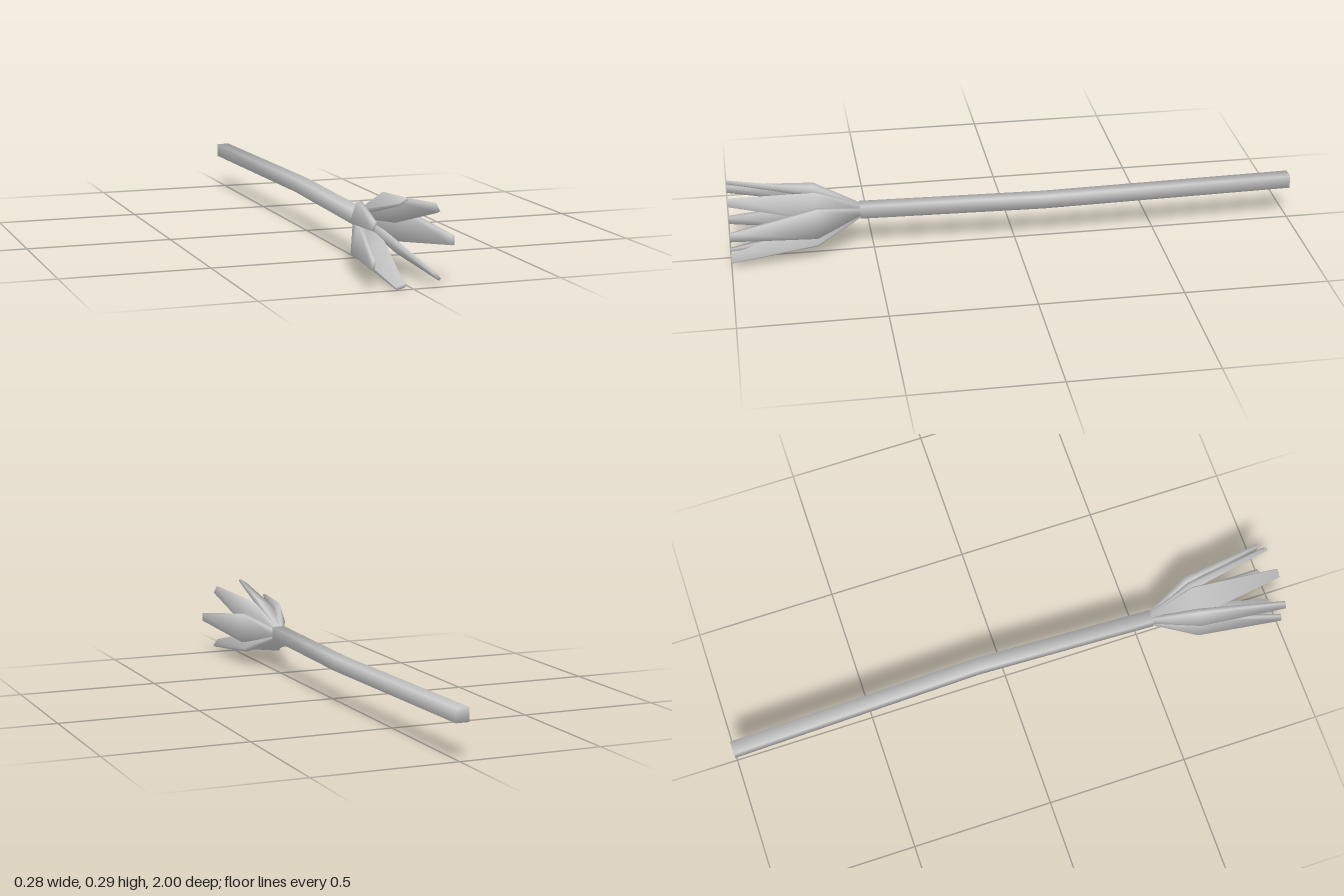
import * as THREE from 'three';

const material = new THREE.MeshStandardMaterial({ color: 0xcccccc });

// Closed four-sided loft through rectangular rings facing +z, shaded smoothly all round.
// Ring: x, y, z, half-width, half-thickness, angle of the wide axis.
function loft(rings) {
  const points = [], quads = [];
  for (const { x, y, z, w, t, a } of rings) {
    for (const [su, sv] of [[1, 1], [-1, 1], [-1, -1], [1, -1]]) {
      const u = su * w, v = sv * t;
      points.push(new THREE.Vector3(
        x + u * Math.cos(a) - v * Math.sin(a), y + u * Math.sin(a) + v * Math.cos(a), z));
    }
  }
  for (let p = 0; p < points.length - 4; p += 4) {
    for (let j = 0; j < 4; j++) {
      const k = (j + 1) % 4;
      quads.push([p + j, p + k, p + 4 + k, p + 4 + j]);
    }
  }
  const last = points.length - 4;
  quads.push([3, 2, 1, 0], [last, last + 1, last + 2, last + 3]);

  // every face counts equally at its corners, so the ends round off the shading too
  const normals = points.map(() => new THREE.Vector3());
  const d1 = new THREE.Vector3(), d2 = new THREE.Vector3();
  for (const q of quads) {
    d1.subVectors(points[q[2]], points[q[0]]);
    d2.subVectors(points[q[3]], points[q[1]]);
    d1.cross(d2).normalize();
    q.forEach((i) => normals[i].add(d1));
  }
  normals.forEach((n) => n.normalize());

  const geo = new THREE.BufferGeometry().setFromPoints(points);
  geo.setAttribute('normal', new THREE.Float32BufferAttribute(normals.flatMap((n) => n.toArray()), 3));
  geo.setIndex(quads.flatMap(([a, b, c, d]) => [a, b, c, a, c, d]));
  return geo;
}

const CX = -0.008, CY = 0.147;

// Petal: the two edge points at its widest section, and the centre of its tip
const petals = [
  { e0: [0.020, 0.246], e1: [-0.066, 0.192], tip: [-0.035, 0.276] },
  { e0: [0.066, 0.155], e1: [0.024, 0.240], tip: [0.075, 0.250] },
  { e0: [0.070, 0.090], e1: [0.072, 0.200], tip: [0.130, 0.145] },
  { e0: [0.014, 0.122], e1: [0.068, 0.058], tip: [0.078, 0.036] },
  { e0: [-0.076, 0.055], e1: [0.023, 0.085], tip: [-0.042, 0.010] },
  { e0: [-0.060, 0.156], e1: [-0.085, 0.058], tip: [-0.131, 0.083] },
  { e0: [-0.065, 0.230], e1: [-0.088, 0.157], tip: [-0.131, 0.205] },
];

export function createModel() {
  const model = new THREE.Group();
  model.name = 'flower';
  const add = (name, geo, parent) => {
    const mesh = new THREE.Mesh(geo, material);
    mesh.name = name;
    parent.add(mesh);
  };

  // Slightly bent square stem
  const stemRing = (x, z) => ({ x, y: CY, z, w: 0.0235, t: 0.0235, a: 0 });
  add('stem', loft([stemRing(CX, -1), stemRing(0.015, -0.1), stemRing(CX, 0.545)]), model);

  // Blossom: seven petals opening towards the front
  const blossom = new THREE.Group();
  blossom.name = 'blossom';
  model.add(blossom);
  petals.forEach(({ e0, e1, tip }, i) => {
    const mx = (e0[0] + e1[0]) / 2, my = (e0[1] + e1[1]) / 2;
    const dx = e1[0] - e0[0], dy = e1[1] - e0[1];
    const a = Math.atan2(dy, dx), out = Math.atan2(my - CY, mx - CX);
    add(`petal${i + 1}`, loft([
      { x: CX + 0.012 * Math.cos(out), y: CY + 0.012 * Math.sin(out), z: 0.54, w: 0.012, t: 0.007, a },
      { x: mx, y: my, z: 0.7, w: Math.hypot(dx, dy) / 2, t: 0.01, a },
      { x: tip[0], y: tip[1], z: 1, w: 0.015, t: 0.005, a },
    ]), blossom);
  });
  return model;
}
